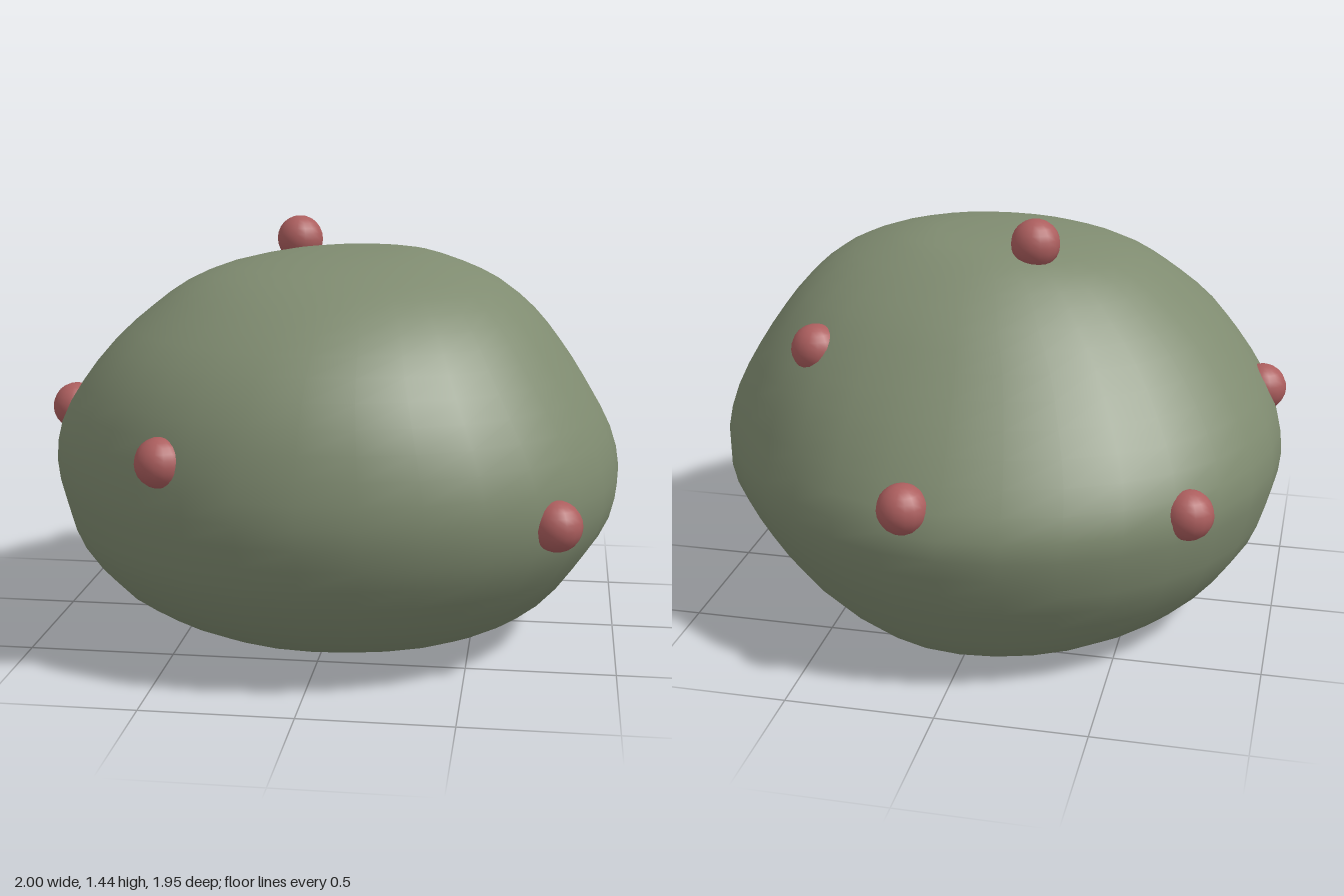
import * as THREE from 'three';

const SEGMENTS = 32;
const STEPS = 2; // rings per cross-section

// Cross-sections from base to crown: height, x min, x max, z min, z max
const SECTIONS = [
  [0.010, -0.26, 0.30, -0.42, 0.24],
  [0.022, -0.45, 0.48, -0.57, 0.43],
  [0.06, -0.63, 0.62, -0.67, 0.58],
  [0.16, -0.80, 0.775, -0.775, 0.75],
  [0.32, -0.925, 0.90, -0.88, 0.89],
  [0.46, -0.975, 0.98, -0.93, 0.95],
  [0.60, -1.00, 1.00, -0.945, 0.975],
  [0.75, -0.97, 0.965, -0.865, 0.955],
  [0.90, -0.88, 0.885, -0.75, 0.905],
  [1.04, -0.765, 0.79, -0.625, 0.815],
  [1.15, -0.64, 0.70, -0.52, 0.70],
  [1.24, -0.515, 0.59, -0.41, 0.565],
  [1.30, -0.37, 0.46, -0.32, 0.42],
  [1.338, -0.18, 0.33, -0.23, 0.25],
  [1.352, -0.02, 0.22, -0.12, 0.09],
];

// Catmull-Rom blend of one column of the sections
function sample(t, column) {
  const last = SECTIONS.length - 1;
  const i = Math.min(Math.floor(t), last - 1), f = t - i;
  const at = (n) => SECTIONS[THREE.MathUtils.clamp(n, 0, last)][column];
  const a = at(i - 1), b = at(i), c = at(i + 1), d = at(i + 2);
  return b + 0.5 * f * (c - a + f * (2 * a - 5 * b + 4 * c - d + f * (3 * (b - c) + d - a)));
}

// Swelling or flattening of the outline at each diagonal, at the waist and the crown
function diagonalScale(angle, y) {
  const c = Math.cos(angle), s = Math.sin(angle);
  let waist = s > 0 ? -0.035 : 0.01, crown = 0;
  if (c > 0) {
    waist = s > 0 ? 0.04 : -0.05;
    crown = s > 0 ? 0 : 0.06;
  }
  const amount = THREE.MathUtils.lerp(waist, crown, THREE.MathUtils.smoothstep(y, 0.6, 1.1));
  return 1 + amount * Math.sin(2 * angle) ** 2;
}

// Lopsided rounded body, lofted through the cross-sections
function bodyGeometry() {
  const points = [], faces = [];
  const rings = (SECTIONS.length - 1) * STEPS;
  for (let r = 0; r <= rings; r++) {
    const [y, x0, x1, z0, z1] = [0, 1, 2, 3, 4].map((column) => sample(r / STEPS, column));
    // The underside tilts slightly
    const tilt = 0.016 * Math.max(0, 1 - y / 0.2);
    for (let j = 0; j < SEGMENTS; j++) {
      const a = (j / SEGMENTS) * Math.PI * 2;
      const k = diagonalScale(a, y);
      const x = (x0 + x1) / 2 + ((x1 - x0) / 2) * k * Math.cos(a);
      const z = (z0 + z1) / 2 + ((z1 - z0) / 2) * k * Math.sin(a);
      points.push(x, y + tilt * z, z);
    }
  }
  const bottom = points.length / 3, top = bottom + 1;
  points.push(0.02, 0.009, -0.09, 0.1, 1.355, -0.02);

  const last = rings * SEGMENTS;
  for (let j = 0; j < SEGMENTS; j++) {
    const n = (j + 1) % SEGMENTS;
    for (let r = 0; r < last; r += SEGMENTS) {
      const a = r + j, b = r + n, c = a + SEGMENTS, d = b + SEGMENTS;
      faces.push(a, c, b, b, c, d);
    }
    faces.push(j, n, bottom, last + j, top, last + n);
  }
  const geometry = new THREE.BufferGeometry();
  geometry.setAttribute('position', new THREE.Float32BufferAttribute(points, 3));
  geometry.setIndex(faces);
  geometry.computeVertexNormals();
  return geometry;
}

export function createModel() {
  const model = new THREE.Group();
  model.name = 'knobblyBody';

  const body = new THREE.Mesh(bodyGeometry(), new THREE.MeshStandardMaterial({ color: 0x7f8b70 }));
  body.name = 'body';
  model.add(body);

  // Small round knobs half sunk into the skin
  const knobGeometry = new THREE.SphereGeometry(0.083, 16, 12);
  const knobMaterial = new THREE.MeshStandardMaterial({ color: 0xac5e5e });
  const knobs = {
    topKnob: [-0.16, 1.36, -0.195],
    frontKnob: [-0.455, 0.757, 0.805],
    frontLeftKnob: [0.79, 0.555, 0.66],
    rightKnob: [-0.915, 0.79, 0.145],
    backKnob: [0.12, 0.675, -0.89],
    backRightKnob: [-0.745, 0.615, -0.61],
    backLeftKnob: [0.53, 1.03, -0.46],
  };
  for (const [name, position] of Object.entries(knobs)) {
    const knob = new THREE.Mesh(knobGeometry, knobMaterial);
    knob.name = name;
    knob.position.set(...position);
    model.add(knob);
  }
  return model;
}
